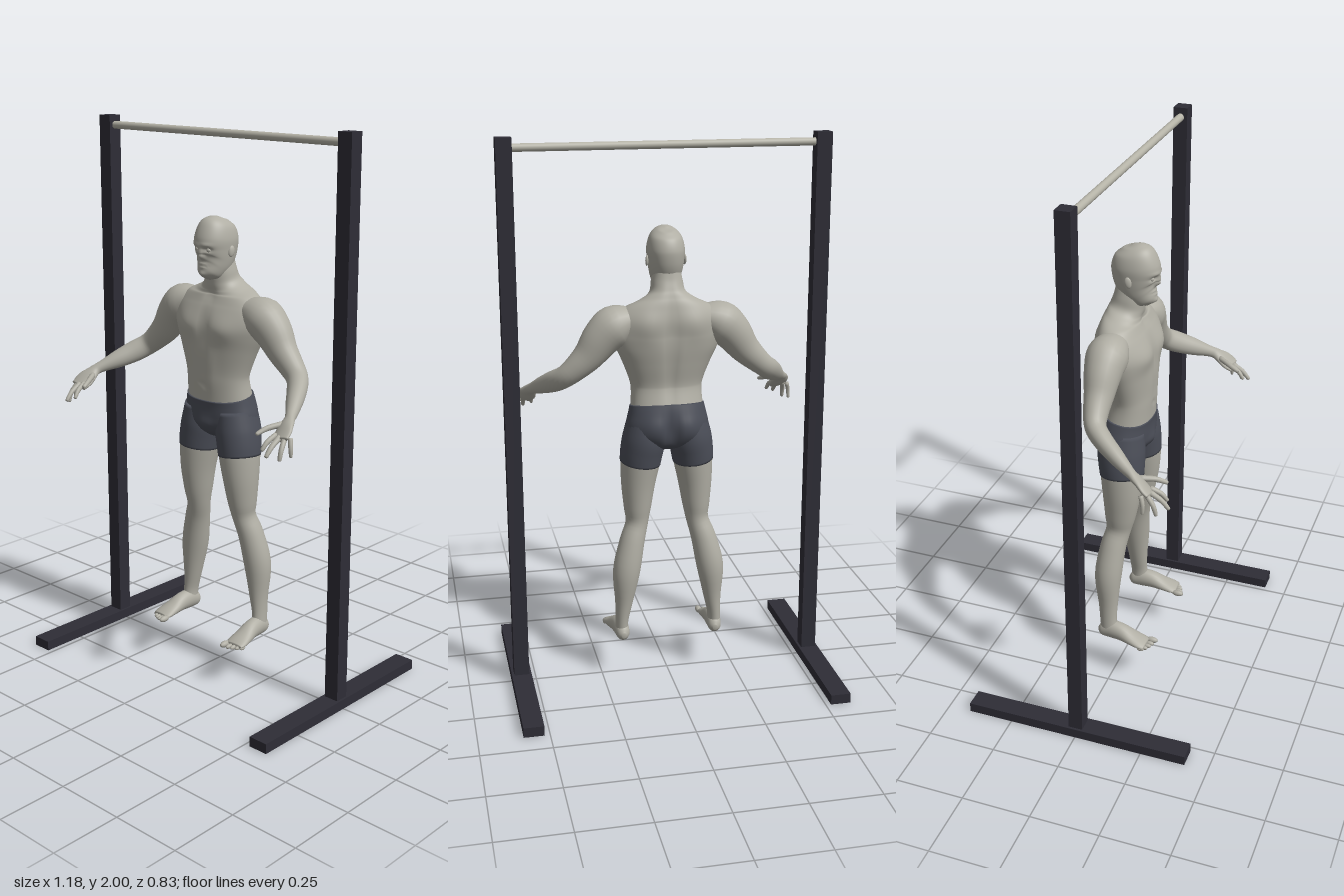
import * as THREE from 'three';

const material = (name, color) => Object.assign(new THREE.MeshStandardMaterial({ color }), { name });

// Smooth interpolation of cross-section rows
function smoothRows(rows, steps) {
  const out = [];
  for (let i = 0; i < rows.length - 1; i++) {
    const a = rows[Math.max(i - 1, 0)], b = rows[i], c = rows[i + 1], d = rows[Math.min(i + 2, rows.length - 1)];
    for (let k = 0; k < steps; k++) {
      const t = k / steps;
      out.push(b.map((v, n) => v + 0.5 * t * (c[n] - a[n]
        + t * (2 * a[n] - 5 * v + 4 * c[n] - d[n] + t * (3 * (v - c[n]) + d[n] - a[n])))));
    }
  }
  out.push(rows[rows.length - 1]);
  return out;
}

// Closed skin through rows of [x, y, z, radiusU, radiusV]
function loft(rows, { segs = 24, steps = 4, power = 2, bumps = [], ref = new THREE.Vector3(0, 0, 1) } = {}) {
  const rings = smoothRows(rows, steps);
  const centre = rings.map((r) => new THREE.Vector3(r[0], r[1], r[2]));
  const pos = [], idx = [], last = rings.length - 1;
  const round = (v) => Math.sign(v) * Math.abs(v) ** (2 / power);
  rings.forEach((r, i) => {
    const t = centre[Math.min(i + 1, last)].clone().sub(centre[Math.max(i - 1, 0)]).normalize();
    const u = ref.clone().cross(t).normalize(), v = t.clone().cross(u);
    for (let j = 0; j < segs; j++) {
      const a = (j / segs) * Math.PI * 2, s = Math.sin(a);
      const p = centre[i].clone()
        .addScaledVector(u, Math.max(r[3], 0.001) * round(Math.cos(a)))
        .addScaledVector(v, Math.max(r[4], 0.001) * round(s));
      // Each bump: [x, y, widthX, widthY, depth, side], mirrored in x
      let dz = 0;
      for (const [bx, by, wx, wy, depth, side] of bumps) {
        dz += side * depth * Math.min(1, 2 * Math.max(0, s * side))
          * Math.exp(-(((Math.abs(p.x) - bx) / wx) ** 2) - ((p.y - by) / wy) ** 2);
      }
      pos.push(p.x, p.y, p.z + dz);
      const n = (j + 1) % segs, A = i * segs + j, B = i * segs + n;
      if (i < last) idx.push(A, B, A + segs, B, B + segs, A + segs);
      if (i === 0) idx.push((last + 1) * segs, B, A);
      if (i === last) idx.push((last + 1) * segs + 1, A, B);
    }
  });
  pos.push(...centre[0].toArray(), ...centre[last].toArray());
  const g = new THREE.BufferGeometry();
  g.setAttribute('position', new THREE.Float32BufferAttribute(pos, 3));
  g.setIndex(idx);
  g.computeVertexNormals();
  return g;
}

export function createModel() {
  const skin = material('skin', 0xb0aea4);
  const cloth = material('shorts cloth', 0x4b4e58);
  const frame = material('dark frame', 0x2e2d36);
  const steel = material('bar steel', 0xb6b4a8);
  const model = new THREE.Group();
  model.name = 'athleteWithPullUpFrame';

  const add = (name, geometry, mat, x = 0, y = 0, z = 0) => {
    const m = new THREE.Mesh(geometry, mat);
    m.name = name;
    m.position.set(x, y, z);
    model.add(m);
    return m;
  };

  // Crossbar
  add('crossbar', new THREE.CylinderGeometry(0.014, 0.014, 1.07, 24).rotateZ(Math.PI / 2), steel, 0, 1.965, 0);

  // Torso and neck, with chest, shoulder blades and spine groove
  add('torso', loft([
    [0, 1.56, 0.004, 0.042, 0.048], [0, 1.5, 0, 0.055, 0.055], [0, 1.46, -0.008, 0.064, 0.06],
    [0, 1.435, -0.014, 0.1, 0.064], [0, 1.41, -0.017, 0.152, 0.07], [0, 1.37, -0.014, 0.19, 0.08],
    [0, 1.32, -0.004, 0.2, 0.088], [0, 1.27, 0, 0.186, 0.09], [0, 1.21, 0.006, 0.16, 0.086],
    [0, 1.14, 0.011, 0.134, 0.078], [0, 1.1, 0.01, 0.128, 0.079], [0, 1.04, 0.001, 0.132, 0.086],
  ], {
    segs: 56, steps: 6, power: 2.2,
    bumps: [
      [0.08, 1.3, 0.065, 0.045, 0.014, 1], [0, 1.31, 0.012, 0.07, -0.006, 1],
      [0.03, 1.16, 0.025, 0.08, 0.004, 1], [0, 1.41, 0.02, 0.02, -0.006, 1],
      [0, 1.094, 0.007, 0.008, -0.005, 1],
      [0.085, 1.35, 0.05, 0.06, 0.012, -1], [0, 1.25, 0.018, 0.2, -0.01, -1],
    ],
  }), skin);

  // Head with modelled face
  add('head', loft([
    [0, 1.683, 0.015, 0.004, 0.004], [0, 1.675, 0.017, 0.032, 0.042], [0, 1.652, 0.02, 0.055, 0.069],
    [0, 1.61, 0.021, 0.066, 0.085], [0, 1.57, 0.022, 0.064, 0.082], [0, 1.535, 0.03, 0.059, 0.072],
    [0, 1.508, 0.047, 0.051, 0.055], [0, 1.487, 0.066, 0.038, 0.037], [0, 1.475, 0.074, 0.018, 0.02],
  ], {
    segs: 64, steps: 8, power: 2.15,
    bumps: [
      [0, 1.552, 0.01, 0.01, 0.015, 1], [0, 1.568, 0.008, 0.018, 0.009, 1],
      [0.026, 1.576, 0.014, 0.008, -0.009, 1], [0.024, 1.593, 0.02, 0.006, 0.004, 1],
      [0, 1.524, 0.018, 0.004, 0.005, 1], [0, 1.514, 0.016, 0.004, 0.004, 1],
      [0, 1.519, 0.02, 0.002, -0.003, 1], [0, 1.489, 0.016, 0.01, 0.006, 1],
    ],
  }), skin);

  // Pelvis part of the shorts
  add('shortsPelvis', loft([
    [0, 1.05, 0.002, 0.134, 0.088], [0, 1.02, -0.003, 0.141, 0.09], [0, 0.98, -0.006, 0.15, 0.091],
    [0, 0.94, -0.005, 0.148, 0.086], [0, 0.91, -0.002, 0.11, 0.068], [0, 0.89, 0, 0.04, 0.04],
  ], {
    segs: 48, steps: 5, power: 2.3,
    bumps: [
      [0.062, 0.975, 0.045, 0.05, 0.013, -1], [0, 0.96, 0.014, 0.06, -0.018, -1],
      [0, 0.94, 0.03, 0.035, 0.012, 1],
    ],
  }), cloth);

  for (const s of [1, -1]) {
    const side = s > 0 ? 'left' : 'right';
    const limb = (name, rows, mat, opts) =>
      add(side + name, loft(rows.map(([x, ...rest]) => [x * s, ...rest]), opts), mat);

    // Upright post and floor foot
    add(side + 'Post', new THREE.BoxGeometry(0.055, 2, 0.052), frame, s * 0.556, 1, 0);
    add(side + 'FloorBase', new THREE.BoxGeometry(0.073, 0.036, 0.83), frame, s * 0.556, 0.018, 0);

    // Ear and eyeball
    const ear = add(side + 'Ear', new THREE.SphereGeometry(1, 14, 10), skin, s * 0.067, 1.567, 0.016);
    ear.scale.set(0.006, 0.02, 0.012);
    ear.rotation.set(-0.2, s * -0.3, 0);
    add(side + 'Eye', new THREE.SphereGeometry(0.009, 14, 10), skin, s * 0.026, 1.575, 0.086);

    // Arm from deltoid to palm
    limb('Arm', [
      [0.12, 1.372, -0.012, 0.04, 0.05], [0.185, 1.348, -0.013, 0.073, 0.073], [0.235, 1.305, -0.013, 0.069, 0.065],
      [0.28, 1.245, -0.01, 0.056, 0.052], [0.325, 1.2, -0.005, 0.046, 0.043], [0.363, 1.167, 0.008, 0.04, 0.037],
      [0.395, 1.142, 0.045, 0.04, 0.034], [0.43, 1.115, 0.1, 0.033, 0.029], [0.46, 1.092, 0.15, 0.022, 0.021],
      [0.473, 1.08, 0.175, 0.021, 0.017], [0.479, 1.064, 0.2, 0.032, 0.015], [0.486, 1.045, 0.224, 0.038, 0.013],
      [0.491, 1.028, 0.246, 0.034, 0.01],
    ], skin);

    // Fingers and thumb: root, joint, tip
    [
      [[0.517, 1.034, 0.222], [0.525, 1.005, 0.231], [0.527, 0.976, 0.231], 0.0075],
      [[0.505, 1.035, 0.237], [0.513, 1.003, 0.263], [0.514, 0.971, 0.273], 0.0085],
      [[0.488, 1.036, 0.242], [0.488, 1.014, 0.281], [0.487, 0.986, 0.307], 0.009],
      [[0.469, 1.04, 0.238], [0.462, 1.022, 0.273], [0.457, 0.998, 0.293], 0.0085],
      [[0.463, 1.066, 0.198], [0.437, 1.057, 0.242], [0.423, 1.043, 0.279], 0.0095],
    ].forEach(([a, b, c, r], i) => {
      const end = c.map((v, n) => v + (c[n] - b[n]) * 0.1);
      limb(i < 4 ? 'Finger' + (i + 1) : 'Thumb',
        [[...a, r * 1.1, r * 1.1], [...b, r, r], [...c, r * 0.75, r * 0.75], [...end, 0.002, 0.002]],
        skin, { segs: 10, steps: 3 });
    });

    // Leg of the shorts
    limb('ShortsLeg', [
      [0.078, 1.0, -0.002, 0.066, 0.08], [0.084, 0.93, -0.003, 0.078, 0.088],
      [0.093, 0.875, 0.001, 0.0775, 0.085], [0.098, 0.833, 0.004, 0.0745, 0.081],
    ], cloth, { segs: 32 });

    // Bare leg from thigh to ankle
    limb('Leg', [
      [0.093, 0.87, 0.002, 0.074, 0.08], [0.098, 0.833, 0.004, 0.072, 0.079], [0.106, 0.75, 0.005, 0.062, 0.07],
      [0.11, 0.66, 0.001, 0.05, 0.057], [0.114, 0.6, -0.005, 0.041, 0.046], [0.135, 0.53, -0.019, 0.046, 0.048],
      [0.158, 0.42, -0.03, 0.05, 0.05], [0.168, 0.3, -0.027, 0.033, 0.037], [0.176, 0.225, -0.024, 0.024, 0.032],
      [0.177, 0.175, -0.018, 0.025, 0.034],
    ], skin, { segs: 28 });

    // Foot, heel to ball
    limb('Foot', [
      [0.174, 0.173, -0.063, 0.008, 0.01], [0.175, 0.175, -0.048, 0.023, 0.027], [0.177, 0.184, -0.012, 0.028, 0.037],
      [0.18, 0.182, 0.03, 0.031, 0.034], [0.184, 0.17, 0.075, 0.037, 0.023], [0.187, 0.161, 0.112, 0.04, 0.015],
      [0.188, 0.157, 0.132, 0.035, 0.009],
    ], skin, { ref: new THREE.Vector3(0, 1, 0) });

    // Toes, big to small
    [[0.156, 0.15, 0.0115], [0.176, 0.148, 0.0085], [0.192, 0.143, 0.008], [0.207, 0.135, 0.0075], [0.219, 0.125, 0.007]]
      .forEach(([x, z, r], i) => {
        const toe = add(side + 'Toe' + (i + 1), new THREE.SphereGeometry(r, 12, 8), skin, s * x, 0.145 + r, z - 0.006);
        toe.scale.z = 2;
      });
  }
  return model;
}
